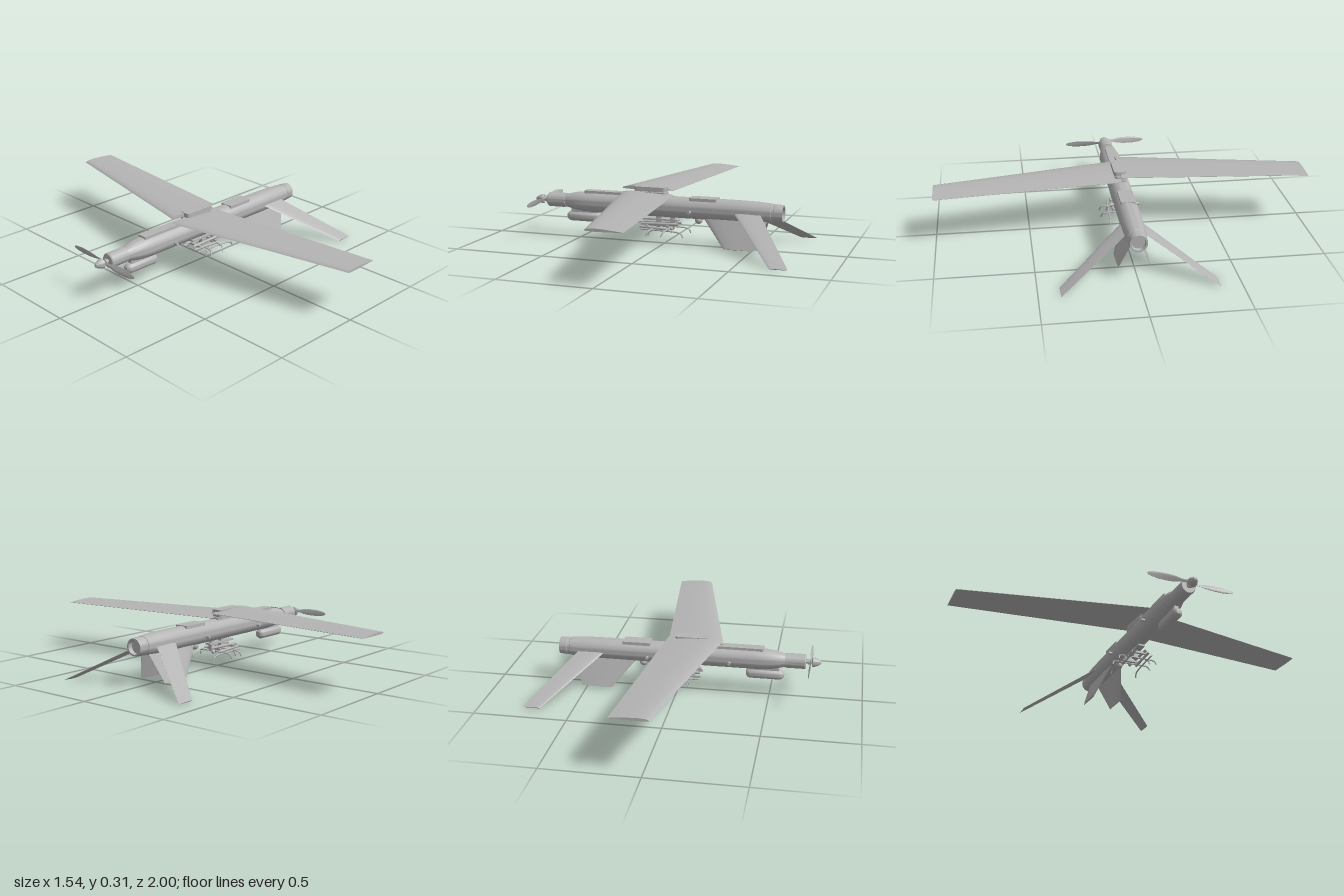
import * as THREE from 'three';
import { toCreasedNormals } from 'three/addons/utils/BufferGeometryUtils.js';

const V = (x, y, z) => new THREE.Vector3(x, y, z);
const AXIS_Y = 0.21;

// Closed skin through equal-length rings of points, turned outwards
function loft(rings) {
  const n = rings[0].length, pos = [], tris = [];
  rings.forEach(r => r.forEach(p => pos.push(p.x, p.y, p.z)));
  for (let i = 0; i < rings.length - 1; i++) {
    for (let j = 0; j < n; j++) {
      const a = i * n + j, b = i * n + (j + 1) % n;
      tris.push([a, b, a + n], [b, b + n, a + n]);
    }
  }
  const end = (rings.length - 1) * n;
  for (let j = 1; j < n - 1; j++) tris.push([0, j + 1, j], [end, end + j, end + j + 1]);
  const pts = rings.flat();
  const volume = tris.reduce((s, [a, b, c]) => s + pts[a].clone().sub(pts[0])
    .dot(pts[b].clone().sub(pts[0]).cross(pts[c].clone().sub(pts[0]))), 0);
  const g = new THREE.BufferGeometry();
  g.setAttribute('position', new THREE.Float32BufferAttribute(pos, 3));
  g.setIndex(tris.flatMap(([a, b, c]) => volume < 0 ? [a, c, b] : [a, b, c]));
  return toCreasedNormals(g, 0.6);
}

// Aerofoil ring: leading edge, chord vector, thickness vector, belly share
const FOIL = [[0.02, 0.4], [0.1, 0.8], [0.28, 1], [0.5, 0.85], [0.75, 0.48]];
function foil(lead, chord, up, belly) {
  const at = (u, t) => lead.clone().addScaledVector(chord, u).addScaledVector(up, t);
  return [at(0, 0), ...FOIL.map(([u, t]) => at(u, t)), at(1, 0.06), at(1, -0.06),
    ...FOIL.slice().reverse().map(([u, t]) => at(u, -t * belly))];
}

export function createModel() {
  const model = new THREE.Group();
  const grey = new THREE.MeshStandardMaterial({ color: 0xb4b4b4 });
  grey.name = 'airframe grey';

  const add = (name, geo, x = 0, y = 0, z = 0) => {
    const m = new THREE.Mesh(geo, grey);
    m.name = name;
    m.position.set(x, y, z);
    model.add(m);
    return m;
  };
  // Body of revolution along x from [x, radius] pairs
  const turned = (name, profile, y = AXIS_Y, z = 0) => {
    const g = new THREE.LatheGeometry(profile.map(([x, r]) => new THREE.Vector2(r, x)), 40);
    g.rotateZ(-Math.PI / 2);
    return add(name, toCreasedNormals(g, 0.5), 0, y, z);
  };
  const tube = (name, pts, r, segs = 20) =>
    add(name, new THREE.TubeGeometry(new THREE.CatmullRomCurve3(pts), segs, r, 8));
  // Flat plate with rounded plan corners, centred in z
  const slab = (name, x0, x1, y0, y1, z0, z1, r) => {
    const s = new THREE.Shape();
    s.moveTo(x0 + r, z0).lineTo(x1 - r, z0).quadraticCurveTo(x1, z0, x1, z0 + r);
    s.lineTo(x1, z1 - r).quadraticCurveTo(x1, z1, x1 - r, z1);
    s.lineTo(x0 + r, z1).quadraticCurveTo(x0, z1, x0, z1 - r);
    s.lineTo(x0, z0 + r).quadraticCurveTo(x0, z0, x0 + r, z0);
    const g = new THREE.ExtrudeGeometry(s, { depth: y1 - y0, bevelEnabled: false });
    g.rotateX(Math.PI / 2);
    return add(name, g, 0, y1, 0);
  };

  // Fuselage with a recessed tail pipe
  turned('fuselage', [[-0.585, 0], [-0.585, 0.034], [-0.56, 0.041], [-0.52, 0.05], [-0.47, 0.056],
    [-0.42, 0.058], [0.4, 0.058], [0.52, 0.056], [0.6, 0.05], [0.602, 0.047], [0.615, 0.047],
    [0.617, 0.049], [0.66, 0.045], [0.66, 0.037], [0.635, 0.035], [0.635, 0]]);
  turned('engine', [[-0.69, 0], [-0.69, 0.036], [-0.685, 0.04], [-0.58, 0.04], [-0.58, 0]]);
  turned('propellerShaft', [[-0.74, 0.009], [-0.71, 0.009], [-0.71, 0.016], [-0.7, 0.016], [-0.7, 0.01], [-0.68, 0.01]]);
  turned('spinner', [[-0.772, 0], [-0.768, 0.009], [-0.755, 0.018], [-0.738, 0.025], [-0.726, 0.026],
    [-0.722, 0.02], [-0.722, 0]]);

  // Two twisted propeller blades
  const stations = [[0, 0.014, 1.2], [0.05, 0.016, 1.15], [0.08, 0.03, 1.2], [0.12, 0.037, 1.25],
    [0.17, 0.036, 1.32], [0.21, 0.026, 1.37], [0.228, 0.015, 1.4], [0.234, 0.004, 1.4]];
  for (const s of [1, -1]) {
    add(s > 0 ? 'leftBlade' : 'rightBlade', loft(stations.map(([z, c, a]) => {
      const chord = V(Math.cos(a) * c, Math.sin(a) * c * s, 0);
      const up = V(-Math.sin(a) * s, Math.cos(a), 0).multiplyScalar(0.12 * c);
      return foil(V(-0.715, AXIS_Y - s * 0.006 + 0.004, z * s).addScaledVector(chord, -0.5), chord, up, 0.4);
    })));
  }

  // Wings stacked one over the other at the pivot
  for (const [name, s, y] of [['lowerWing', 1, 0.274], ['upperWing', -1, 0.3]]) {
    add(name, loft([
      foil(V(-0.246, y, 0), V(0.301, 0, 0), V(0, 0.014, 0), 0.4),
      foil(V(-0.04, y, s), V(0.193, 0, 0), V(0, 0.011, 0), 0.35)]));
  }
  slab('upperWingHub', -0.168, 0.015, 0.292, 0.316, -0.03, 0.034, 0.02);
  slab('lowerWingHub', -0.168, 0.015, 0.266, 0.288, -0.034, 0.03, 0.02);
  add('wingPivot', new THREE.CylinderGeometry(0.022, 0.022, 0.06, 24), -0.08, 0.28, 0);

  // Covers along the spine
  slab('noseCover', -0.463, 0.03, 0.24, 0.275, -0.027, 0.027, 0.006);
  slab('rearCover', 0.15, 0.302, 0.235, 0.27, -0.038, 0.038, 0.004);

  // Inverted V tail and ventral fins
  for (const s of [1, -1]) {
    const side = s > 0 ? 'left' : 'right';
    const upTail = V(0, 0.87, 0.5 * s).multiplyScalar(0.004);
    add(side + 'Tail', loft([
      foil(V(0.395, 0.21, 0.04 * s), V(0.145, 0, 0), upTail, 1),
      foil(V(0.675, 0.007, 0.39 * s), V(0.095, 0, 0), upTail.clone().multiplyScalar(0.7), 1)]));
    const upFin = V(0, 0.37, 0.93 * s).multiplyScalar(0.005);
    add(side + 'VentralFin', loft([
      foil(V(0.225, 0.17, 0.024 * s), V(0.355, 0, 0), upFin, 1),
      foil(V(0.357, 0.014, 0.083 * s), V(0.167, 0, 0), upFin, 1)]));
    // Side studs
    for (const x of [-0.285, 0.162]) {
      add(side + 'Stud', new THREE.CylinderGeometry(0.008, 0.008, 0.03, 16).rotateX(Math.PI / 2), x, 0.196, 0.062 * s);
    }
  }

  // Sensor pod below the nose
  turned('sensorPod', [[-0.578, 0], [-0.576, 0.012], [-0.568, 0.022], [-0.555, 0.028], [-0.39, 0.028],
    [-0.378, 0.022], [-0.371, 0.012], [-0.37, 0]], 0.124);
  slab('podPylon', -0.55, -0.39, 0.13, 0.175, -0.014, 0.014, 0.006);

  // Belly sensor ball
  add('sensorBall', new THREE.SphereGeometry(0.021, 24, 16), 0.195, 0.146, 0);

  // Slung rack: stacked rods, cross bars and hooked claws
  add('rackPost', new THREE.BoxGeometry(0.03, 0.07, 0.022), -0.03, 0.132, 0);
  add('rackPost', new THREE.BoxGeometry(0.03, 0.06, 0.022), 0.05, 0.132, 0);
  slab('rackPlate', -0.12, 0.085, 0.133, 0.142, -0.02, 0.02, 0.008);
  for (const s of [1, -1]) {
    tube('upperRod', [V(-0.125, 0.113, 0.028 * s), V(0.09, 0.118, 0.028 * s)], 0.008);
    tube('lowerRod', [V(-0.13, 0.098, 0.04 * s), V(0.045, 0.09, 0.04 * s)], 0.007);
    tube('sideRail', [V(-0.12, 0.088, 0.06 * s), V(0.1, 0.083, 0.07 * s), V(0.12, 0.076, 0.072 * s), V(0.128, 0.056, 0.073 * s)], 0.004);
    for (const [x, reach] of [[-0.055, 0.105], [0.03, 0.105]]) {
      tube('claw', [V(x, 0.09, 0), V(x, 0.09, reach * 0.7 * s), V(x - 0.006, 0.084, (reach - 0.006) * s),
        V(x - 0.016, 0.06, (reach + 0.005) * s)], 0.004);
    }
    tube('frontHook', [V(-0.04, 0.09, 0.06 * s), V(-0.06, 0.08, 0.066 * s), V(-0.072, 0.056, 0.07 * s)], 0.004);
  }
  for (const x of [-0.09, 0.03]) {
    add('crossBar', new THREE.BoxGeometry(0.014, 0.012, 0.09), x, 0.105, 0);
  }
  add('rackKnob', new THREE.SphereGeometry(0.01, 16, 12), 0.04, 0.088, 0);

  return model;
}
